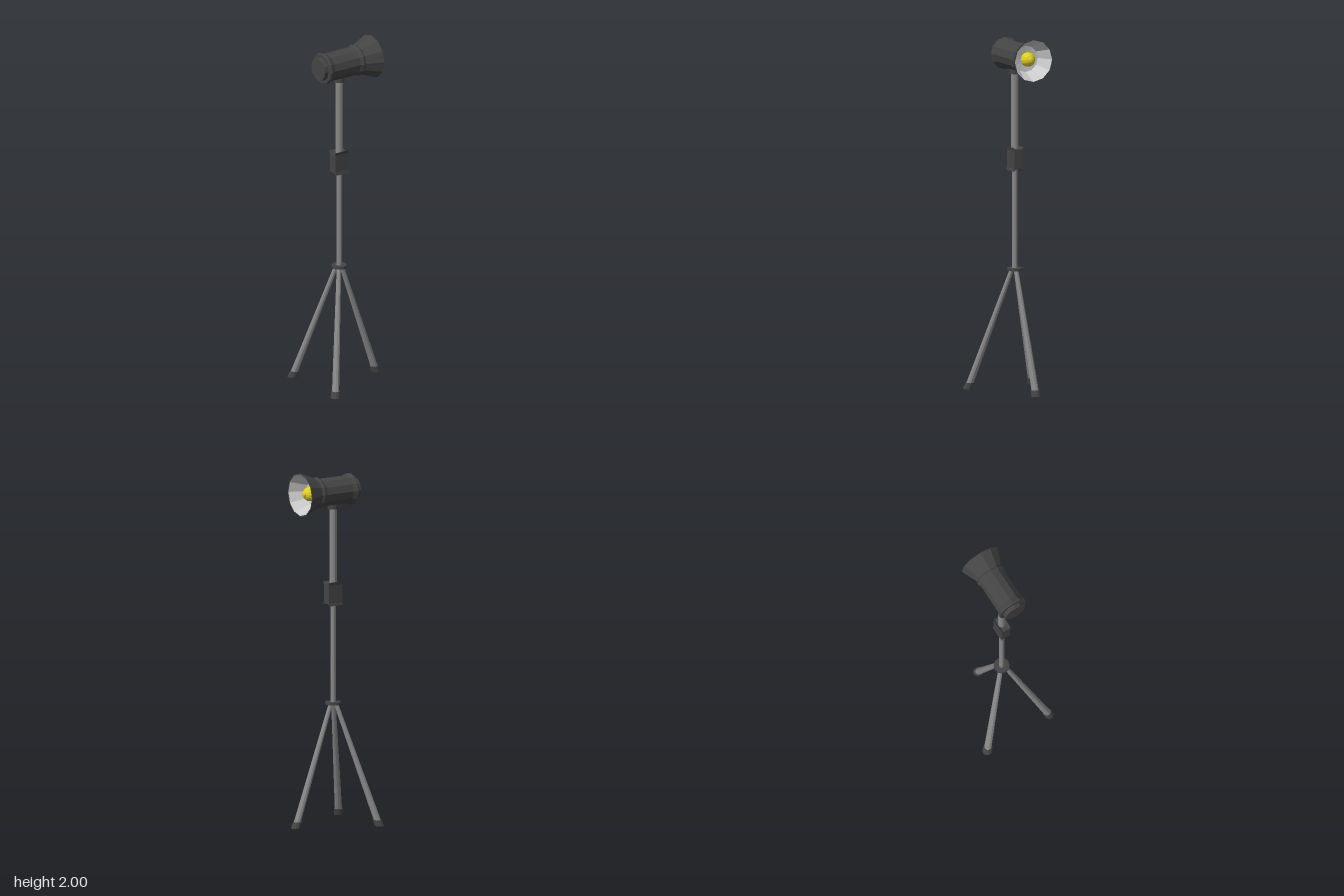
import * as THREE from 'three';

const paint = (color, side = THREE.FrontSide) =>
  new THREE.MeshStandardMaterial({ color, side, flatShading: true });

export function createModel() {
  const model = new THREE.Group();
  const dark = paint(0x444444);
  const steel = paint(0x888888);
  const silver = paint(0xdddddd, THREE.DoubleSide);
  const yellow = paint(0xe0d020);
  const POLE_X = -0.04;
  const LAMP_Y = 1.877;

  const add = (name, geometry, material, parent = model) => {
    const mesh = new THREE.Mesh(geometry, material);
    mesh.name = name;
    parent.add(mesh);
    return mesh;
  };

  // Upright tube around the pole axis
  const upright = (name, r, y0, y1, material, sides = 12) => {
    const mesh = add(name, new THREE.CylinderGeometry(r, r, y1 - y0, sides), material);
    mesh.position.set(POLE_X, (y0 + y1) / 2, 0);
  };
  upright('lowerPole', 0.015, 0.67, 1.3, steel);
  upright('upperPole', 0.021, 1.25, 1.79, steel);
  upright('tripodCollar', 0.044, 0.673, 0.687, dark);
  upright('lampNeck', 0.031, 1.777, 1.815, dark);

  // Clamp: block with notched ends and slightly pinched sides
  const clampShape = new THREE.Shape([
    [-0.03, -0.067], [-0.018, -0.056], [0.018, -0.056], [0.03, -0.067],
    [0.026, -0.05], [0.026, 0.05],
    [0.03, 0.067], [0.018, 0.056], [-0.018, 0.056], [-0.03, 0.067],
    [-0.026, 0.05], [-0.026, -0.05],
  ].map(([x, y]) => new THREE.Vector2(x, y)));
  const clampGeometry = new THREE.ExtrudeGeometry(clampShape, { depth: 0.09, bevelEnabled: false });
  clampGeometry.translate(0, 0, -0.045).rotateY(Math.PI / 2);
  add('heightClamp', clampGeometry, dark).position.set(POLE_X, 1.3, 0);

  // Tripod legs: cylinders sheared so both ends stay level
  const slanted = (name, parent, material, a, b, rA, rB) => {
    const geometry = new THREE.CylinderGeometry(rB, rA, b.y - a.y, 10);
    const p = geometry.attributes.position;
    for (let i = 0; i < p.count; i++) {
      const t = p.getY(i) / (b.y - a.y) + 0.5;
      p.setXYZ(i,
        p.getX(i) + a.x + (b.x - a.x) * t,
        a.y + (b.y - a.y) * t,
        p.getZ(i) + a.z + (b.z - a.z) * t);
    }
    geometry.computeVertexNormals();
    add(name, geometry, material, parent);
  };
  const feet = [[0.21, 0], [-0.213, 0.202], [-0.213, -0.202]];
  for (const [x, z] of feet) {
    const leg = new THREE.Group();
    leg.name = 'tripodLeg';
    model.add(leg);
    const foot = new THREE.Vector3(x, 0, z);
    const hip = new THREE.Vector3(POLE_X + (x - POLE_X) * 0.06, 0.678, z * 0.06);
    const along = (t) => foot.clone().lerp(hip, t);
    slanted('legTube', leg, steel, along(0.02), hip, 0.021, 0.013);
    slanted('rubberFoot', leg, dark, foot, along(0.05), 0.028, 0.025);
  }

  // Lamp head: turned profiles [radius, distance along the beam]
  const lamp = new THREE.Group();
  lamp.name = 'lampHead';
  lamp.position.y = LAMP_Y;
  lamp.rotation.z = -Math.PI / 2;
  model.add(lamp);
  const turned = (name, profile, material) => add(name,
    new THREE.LatheGeometry(profile.map(([r, y]) => new THREE.Vector2(r, y)), 12), material, lamp);

  turned('housing', [
    [0, -0.184], [0.065, -0.184], [0.065, -0.16], [0.086, -0.16], [0.09, -0.15],
    [0.08, -0.125], [0.08, 0.05], [0.09, 0.07], [0.083, 0.083],
    [0.123, 0.18], [0.117, 0.18],
  ], dark);
  turned('reflector', [[0.117, 0.18], [0.074, 0.09], [0, 0.08]], silver);

  // Bulb with a small tip
  const bulb = add('bulb', new THREE.SphereGeometry(0.041, 12, 8), yellow, lamp);
  bulb.position.y = 0.115;
  turned('bulbTip', [[0.016, 0.15], [0.014, 0.16], [0, 0.163]], yellow);

  return model;
}
